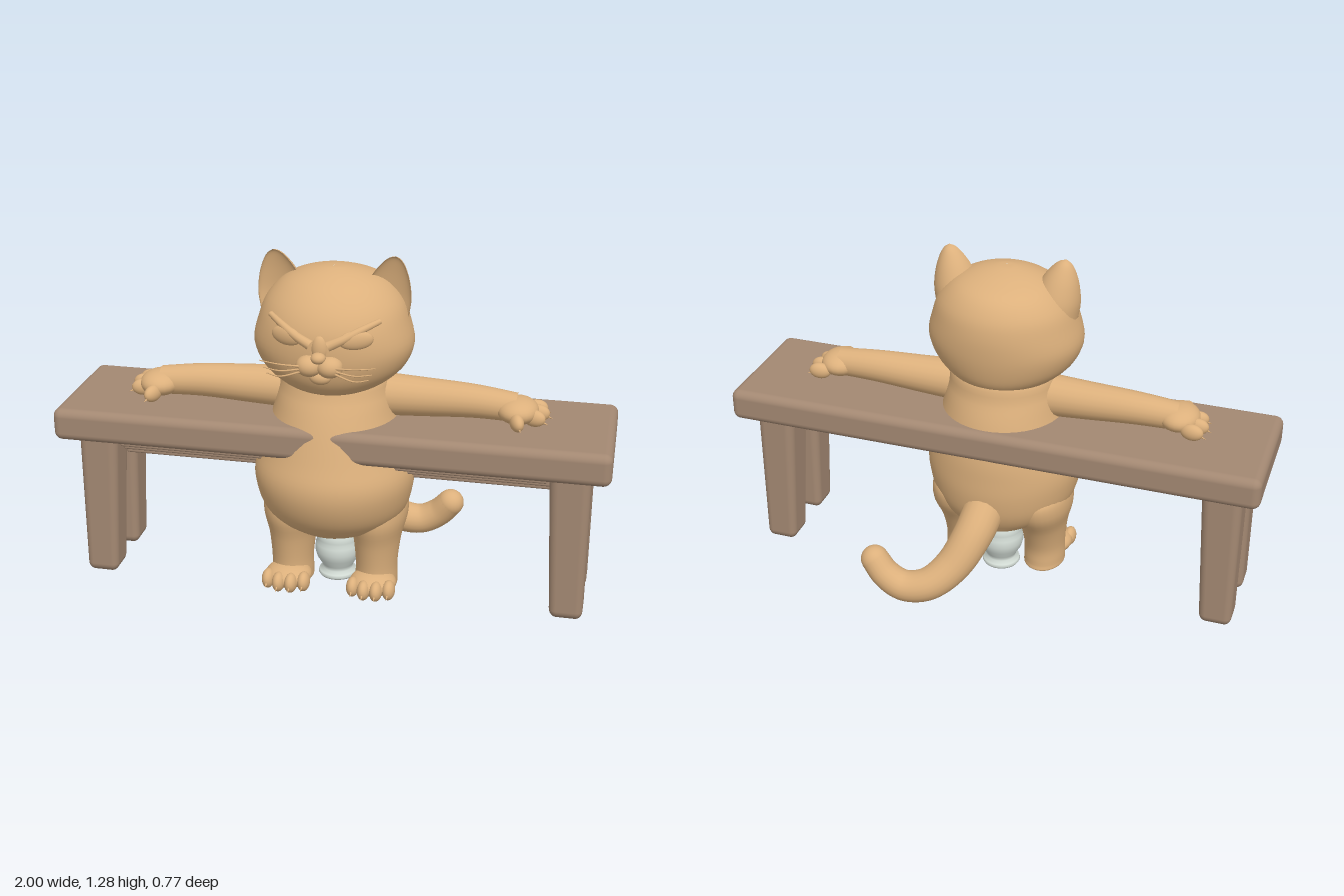
import * as THREE from 'three';
import { RoundedBoxGeometry } from 'three/addons/geometries/RoundedBoxGeometry.js';

const V = (x, y, z) => new THREE.Vector3(x, y, z);

// Smooth interpolation through rows of [y, halfWidth, zFront, zBack]
function profile(rows) {
  const a = new THREE.CatmullRomCurve3(rows.map(r => V(r[1], r[0], r[2])), false, 'catmullrom', 0.5);
  const b = new THREE.CatmullRomCurve3(rows.map(r => V(0, r[0], r[3])), false, 'catmullrom', 0.5);
  return t => {
    const p = a.getPoint(t), q = b.getPoint(t);
    return { y: p.y, rx: Math.max(p.x, 0.0005), zf: p.z, zb: q.z };
  };
}

// Closed skin over stacked sections, rows run bottom to top
function loft(rows, frontDepth = 1, rings = 48, segs = 48) {
  const at = profile(rows), pos = [], index = [];
  for (let i = 0; i <= rings; i++) {
    const { y, rx, zf, zb } = at(i / rings), zm = (zf + zb) / 2;
    for (let j = 0; j < segs; j++) {
      const a = j / segs * Math.PI * 2, s = Math.sin(a);
      pos.push(rx * Math.cos(a), y, zm + (zf - zb) / 2 * (s > 0 ? s * frontDepth : s));
      if (i === rings) continue;
      const k = (j + 1) % segs, p = i * segs, q = p + segs;
      index.push(p + j, q + j, p + k, q + j, q + k, p + k);
    }
  }
  const g = new THREE.BufferGeometry();
  g.setAttribute('position', new THREE.Float32BufferAttribute(pos, 3));
  g.setIndex(index);
  g.computeVertexNormals();
  return g;
}

// Tube that tapers from r0 to r1
function taperTube(points, r0, r1, n = 40, radial = 20) {
  const curve = new THREE.CatmullRomCurve3(points);
  const g = new THREE.TubeGeometry(curve, n, 1, radial), p = g.attributes.position, v = V(0, 0, 0);
  for (let i = 0; i < p.count; i++) {
    const t = Math.floor(i / (radial + 1)) / n, c = curve.getPointAt(t);
    v.fromBufferAttribute(p, i).sub(c).multiplyScalar(r0 + (r1 - r0) * t).add(c);
    p.setXYZ(i, v.x, v.y, v.z);
  }
  return g;
}

export function createModel() {
  const model = new THREE.Group();
  const mat = (name, color) => Object.assign(new THREE.MeshStandardMaterial({ color }), { name });
  const fur = mat('tan fur', 0xdcb07c), wood = mat('brown wood', 0xa38872), glaze = mat('pale glaze', 0xd3dcd5);

  const add = (name, geo, m, x = 0, y = 0, z = 0) => {
    const mesh = new THREE.Mesh(geo, m);
    mesh.name = name;
    mesh.position.set(x, y, z);
    model.add(mesh);
    return mesh;
  };
  const ball = (name, x, y, z, sx, sy = sx, sz = sx) => {
    const mesh = add(name, new THREE.SphereGeometry(1, 24, 16), fur, x, y, z);
    mesh.scale.set(sx, sy, sz);
    return mesh;
  };
  // Small claw pointing along dir
  const claw = (x, y, z, dir) => {
    const c = add('claw', new THREE.ConeGeometry(0.008, 0.035, 8), fur, x, y, z);
    c.quaternion.setFromUnitVectors(V(0, 1, 0), dir.normalize());
  };

  // Bench top
  add('benchTop', new RoundedBoxGeometry(2, 0.12, 0.495, 4, 0.03), wood, 0, 0.63, 0.057);

  // Bench legs: outer faces stay upright, inner faces taper to the floor
  for (const s of [-1, 1]) for (const [name, zOuter, dir] of [['frontBenchLeg', 0.237, 1], ['rearBenchLeg', -0.125, -1]]) {
    const g = new RoundedBoxGeometry(0.148, 0.6, 0.153, 4, 0.032), p = g.attributes.position;
    for (let i = 0; i < p.count; i++) {
      const k = 1 - 0.2 * (0.3 - p.getY(i)) / 0.6;
      p.setX(i, s * (0.932 - (0.074 - s * p.getX(i)) * k));
      p.setZ(i, zOuter - dir * (0.0765 - dir * p.getZ(i)) * k);
    }
    add(name, g, wood, 0, 0.308, 0);
  }

  // Stepped rails under the bench top
  for (const [y, z0, z1, end] of [[0.55, -0.1, 0.21, 0.78], [0.515, -0.04, 0.155, 0.79], [0.475, 0.02, 0.095, 0.8]])
    add('rail', new RoundedBoxGeometry(end * 2, 0.05, z1 - z0, 2, 0.008), wood, 0, y, (z0 + z1) / 2);
  for (const s of [-1, 1])
    add('railEnd', new RoundedBoxGeometry(0.14, 0.075, 0.07, 3, 0.015), wood, s * 0.83, 0.54, 0.057);

  // Cat body
  add('body', loft([
    [0.215, 0.001, 0.07, 0.05], [0.225, 0.12, 0.19, -0.1], [0.26, 0.205, 0.255, -0.14], [0.32, 0.26, 0.315, -0.17],
    [0.4, 0.286, 0.352, -0.185], [0.48, 0.292, 0.36, -0.187], [0.57, 0.267, 0.335, -0.183], [0.69, 0.228, 0.298, -0.16],
    [0.78, 0.205, 0.262, -0.13], [0.86, 0.17, 0.22, -0.1], [0.87, 0.001, 0.07, 0.05]]), fur);

  // Head
  const headRows = [
    [0.79, 0.001, 0.09, 0.07], [0.8, 0.1, 0.2, -0.05], [0.815, 0.16, 0.26, -0.09], [0.85, 0.217, 0.3, -0.125],
    [0.9, 0.262, 0.325, -0.144], [0.97, 0.285, 0.338, -0.157], [1.05, 0.267, 0.335, -0.16], [1.12, 0.24, 0.303, -0.145],
    [1.18, 0.185, 0.245, -0.1], [1.215, 0.115, 0.18, -0.02], [1.232, 0.045, 0.125, 0.05], [1.235, 0.001, 0.1, 0.09]];
  add('head', loft(headRows), fur);
  const headAt = profile(headRows);
  const faceZ = (x, y) => {
    let lo = 0, hi = 1;
    for (let i = 0; i < 24; i++) {
      const m = (lo + hi) / 2;
      if (headAt(m).y < y) lo = m; else hi = m;
    }
    const { rx, zf, zb } = headAt(lo);
    return (zf + zb) / 2 + (zf - zb) / 2 * Math.sqrt(Math.max(0, 1 - (x / rx) ** 2));
  };

  // Muzzle centre
  ball('nose', 0, 0.985, 0.352, 0.026, 0.02, 0.026);
  ball('noseBridge', 0, 1.01, 0.325, 0.03, 0.05, 0.025);
  ball('chin', 0, 0.905, 0.322, 0.038, 0.026, 0.026);

  for (const s of [-1, 1]) {
    // Cupped ears
    const ear = add('ear', loft([
      [0, 0.088, 0.1, -0.1], [0.06, 0.084, 0.09, -0.09], [0.12, 0.066, 0.068, -0.068],
      [0.165, 0.043, 0.044, -0.044], [0.19, 0.022, 0.024, -0.024], [0.2, 0.001, 0.001, -0.001]], -0.4, 24, 36), fur, s * 0.178, 1.083, 0.098);
    ear.rotation.z = -s * 0.2;

    // Narrowed eyes under slanted brows
    const eye = ball('eye', s * 0.12, 1.042, faceZ(0.12, 1.042) - 0.004, 0.062, 0.034, 0.018);
    eye.rotation.y = s * 0.42;
    const brow = [[0.03, 1.025], [0.08, 1.048], [0.135, 1.074], [0.19, 1.093]];
    add('brow', taperTube(brow.map(([x, y]) => V(s * x, y, faceZ(x, y) + 0.002)), 0.018, 0.01, 20, 12), fur);

    // Muzzle cheeks and whiskers
    ball('muzzle', s * 0.036, 0.95, 0.335, 0.046, 0.038, 0.042);
    [0.968, 0.945, 0.925].forEach((y, i) => add('whisker', taperTube(
      [V(s * 0.05, 0.955 - i * 0.008, 0.362), V(s * 0.13, y - 0.006, 0.375), V(s * (0.2 - i * 0.012), y, 0.366)], 0.004, 0.002, 10, 6), fur));

    // Outstretched arms
    add('arm', taperTube([V(s * 0.08, 0.757, 0.06), V(s * 0.3, 0.757, 0.06), V(s * 0.5, 0.757, 0.063), V(s * 0.65, 0.748, 0.07)], 0.083, 0.052), fur);
    ball('hand', s * 0.655, 0.743, 0.078, 0.075, 0.047, 0.085);
    for (const [x, z, ang] of [[0.715, 0.008, 0.1], [0.725, 0.055, 0], [0.715, 0.105, -0.25], [0.66, 0.16, -1.2]]) {
      const f = ball('finger', s * x, 0.727, z, 0.042, 0.031, 0.024);
      f.rotation.y = s * ang;
      const d = V(s * Math.cos(ang), -0.35, -Math.sin(ang));
      claw(s * x + d.x * 0.037, 0.715, z + d.z * 0.037, d);
    }

    // Legs and feet
    add('leg', loft([
      [0, 0.001, 0.1, 0.09], [0.004, 0.07, 0.18, 0.0], [0.03, 0.078, 0.19, -0.005], [0.1, 0.077, 0.19, -0.01],
      [0.2, 0.088, 0.205, -0.05], [0.3, 0.11, 0.23, -0.11], [0.38, 0.09, 0.2, -0.1], [0.4, 0.001, 0.06, 0.05]], 1, 32, 32), fur, s * 0.16, 0, 0);
    ball('foot', s * 0.16, 0.046, 0.165, 0.087, 0.045, 0.085);
    [0.093, 0.137, 0.183, 0.227].forEach((x, i) => {
      const z = i % 3 ? 0.232 : 0.212;
      ball('toe', s * x, 0.043, z, 0.024, 0.037, 0.038);
      claw(s * x, 0.035, z + 0.037, V(0, -0.5, 1));
    });
  }

  // Curled tail
  add('tail', taperTube([V(0, 0.38, -0.1), V(0.03, 0.27, -0.2), V(0.09, 0.155, -0.27), V(0.17, 0.087, -0.32),
    V(0.26, 0.07, -0.335), V(0.33, 0.105, -0.335), V(0.378, 0.158, -0.325)], 0.08, 0.052, 60), fur);
  ball('tailTip', 0.378, 0.158, -0.325, 0.052);

  // Ribbed vase between the feet
  const vase = [[0, 0], [0.068, 0], [0.073, 0.008], [0.07, 0.018], [0.056, 0.028], [0.06, 0.045], [0.078, 0.075], [0.086, 0.105],
    [0.083, 0.132], [0.077, 0.145], [0.08, 0.155], [0.077, 0.175], [0.069, 0.188], [0.071, 0.198], [0.066, 0.22], [0.05, 0.245], [0, 0.25]];
  add('vase', new THREE.LatheGeometry(vase.map(([r, y]) => new THREE.Vector2(r, y)), 40), glaze, 0, 0, 0.035);

  return model;
}
